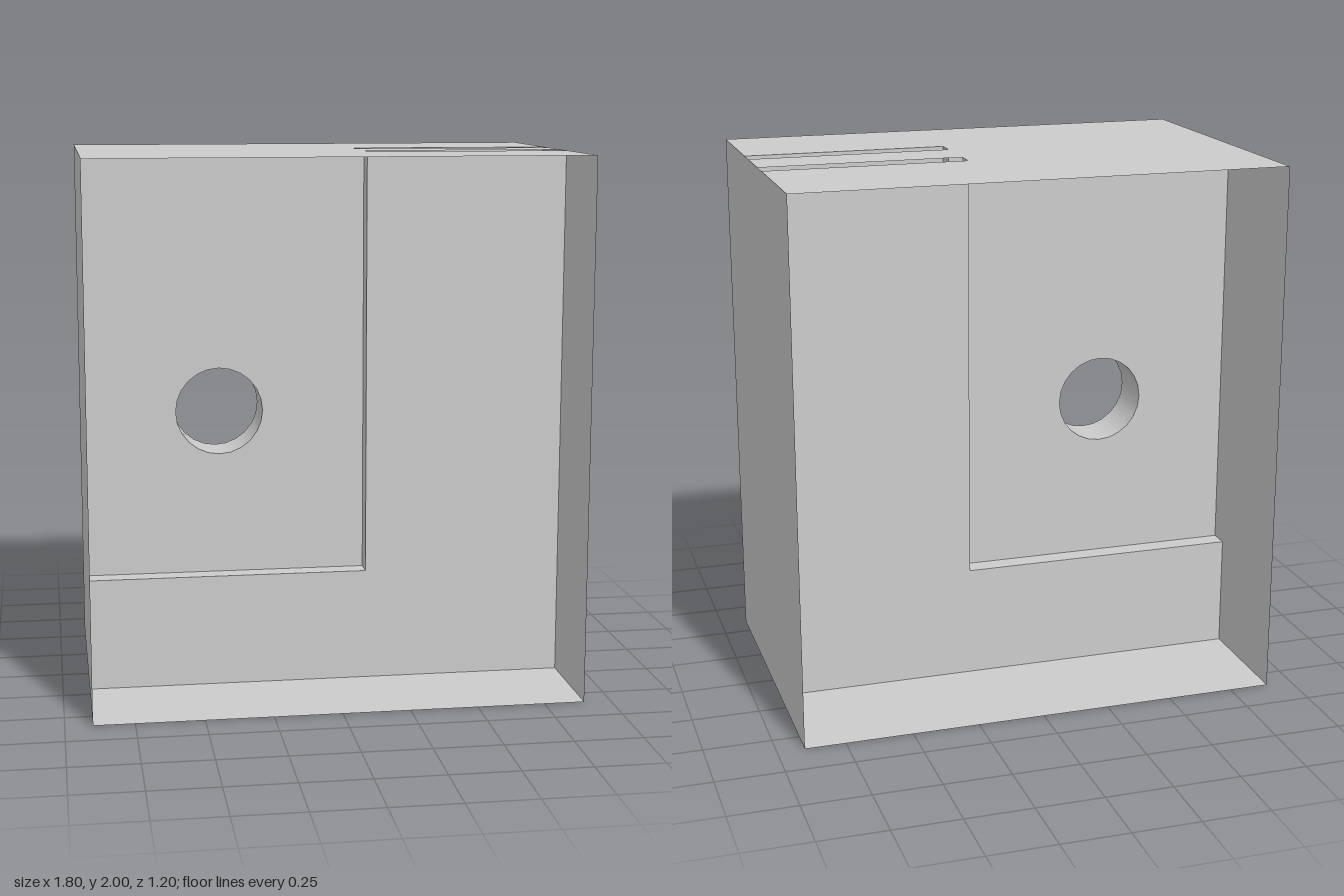
import * as THREE from 'three';

const W = 0.9, H = 2, D = 0.6;          // half width, height, half depth
const STEP_X = 0.15, STEP_Y = 0.42;     // inner corner of the recess
const CORE = [-0.07, 0.115];            // recessed faces of the divider
const THICK = [-0.145, 0.19];           // raised faces of the divider
const HOLE = { x: -0.395, y: 1.037, r: 0.163 };

const material = new THREE.MeshStandardMaterial({ color: 0xcccccc, side: THREE.DoubleSide });

const outline = (points) => new THREE.Shape(points.map(([x, y]) => new THREE.Vector2(x, y)));

export function createModel() {
  const group = new THREE.Group();
  const add = (name, geometry, x = 0, y = 0, z = 0) => {
    const mesh = new THREE.Mesh(geometry, material);
    mesh.name = name;
    mesh.position.set(x, y, z);
    group.add(mesh);
  };
  const sideSheet = (depth, height) => new THREE.PlaneGeometry(depth, height).rotateY(Math.PI / 2);
  const flatSheet = (width, depth) => new THREE.PlaneGeometry(width, depth).rotateX(-Math.PI / 2);

  // Thin outer sleeve, open at front and back
  add('rightWall', sideSheet(2 * D, H).rotateY(Math.PI), -W, H / 2);
  add('leftWall', sideSheet(2 * D, H), W, H / 2);
  add('bottom', flatSheet(2 * W, 2 * D).rotateX(Math.PI));

  // Top sheet with two slots running in to the recess edge (drawn in x, -z)
  const top = outline([
    [-W, -D], [W, -D],
    [W, -THICK[1]], [STEP_X, -THICK[1]], [STEP_X, -CORE[1]], [W, -CORE[1]],
    [W, -CORE[0]], [STEP_X, -CORE[0]], [STEP_X, -THICK[0]], [W, -THICK[0]],
    [W, D], [-W, D],
  ]);
  add('slottedTop', new THREE.ShapeGeometry(top).rotateX(-Math.PI / 2), 0, H, 0);

  // Divider: recessed panel and raised L-shaped border on each side
  const panel = outline([[-W, STEP_Y], [STEP_X, STEP_Y], [STEP_X, H], [-W, H]]);
  panel.holes.push(new THREE.Path().absarc(HOLE.x, HOLE.y, HOLE.r, 0, Math.PI * 2, true));
  const border = outline([[-W, 0], [W, 0], [W, H], [STEP_X, H], [STEP_X, STEP_Y], [-W, STEP_Y]]);

  ['back', 'front'].forEach((side, i) => {
    const face = (shape) => {
      const geometry = new THREE.ShapeGeometry(shape, 12);
      return i ? geometry : geometry.scale(1, 1, -1).rotateY(0);
    };
    const mid = (CORE[i] + THICK[i]) / 2, step = Math.abs(THICK[i] - CORE[i]);
    add(side + 'RecessedPanel', face(panel), 0, 0, CORE[i]);
    add(side + 'RaisedBorder', face(border), 0, 0, THICK[i]);
    add(side + 'Ledge', flatSheet(STEP_X + W, step), (STEP_X - W) / 2, STEP_Y, mid);
    add(side + 'StepSide', sideSheet(step, H - STEP_Y).rotateY(Math.PI), STEP_X, (H + STEP_Y) / 2, mid);
  });

  // Round through-hole lining
  const bore = new THREE.CylinderGeometry(HOLE.r, HOLE.r, CORE[1] - CORE[0], 24, 1, true);
  add('holeLining', bore.rotateX(Math.PI / 2), HOLE.x, HOLE.y, (CORE[0] + CORE[1]) / 2);

  return group;
}
